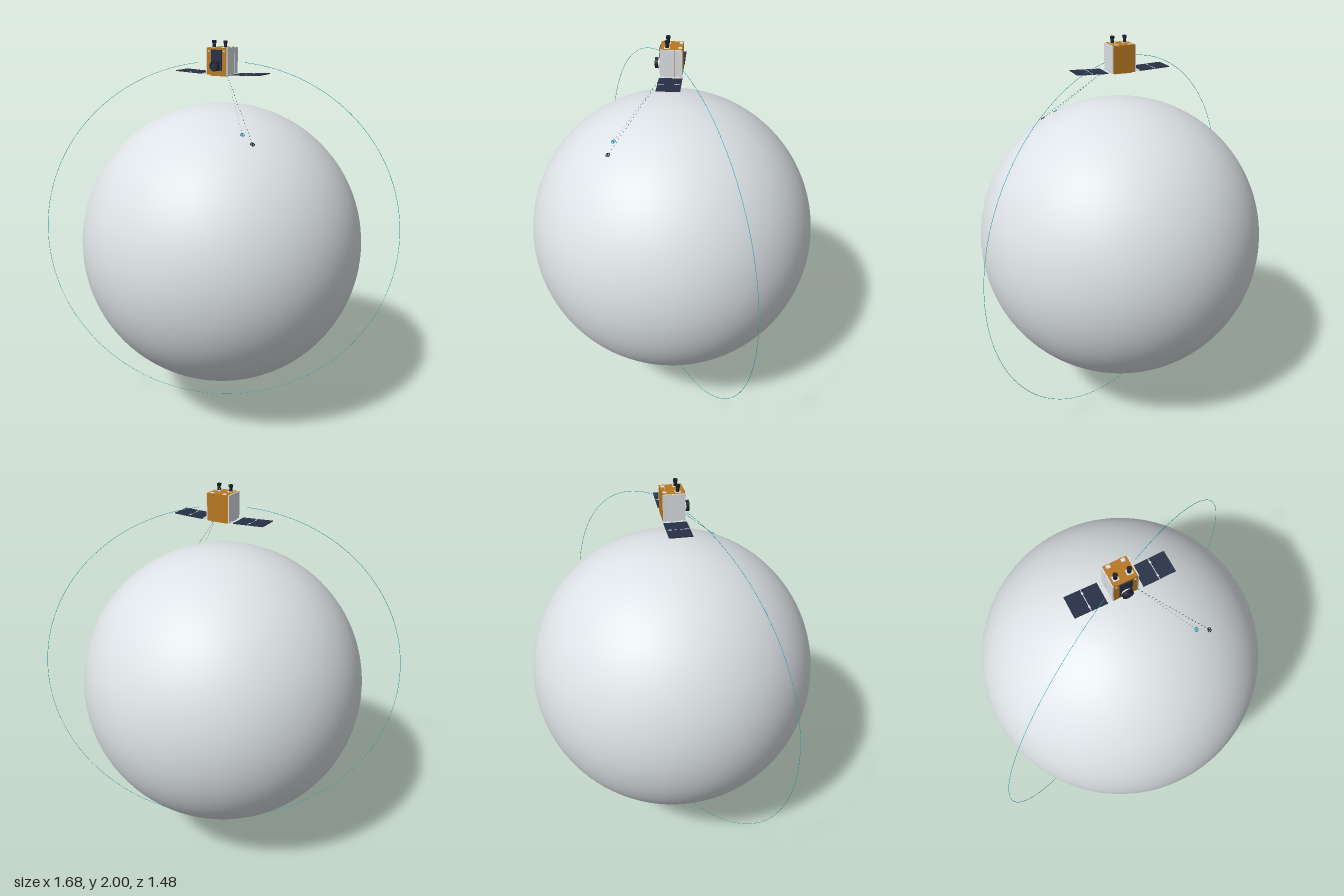
import * as THREE from 'three';

const mat = (name, color) => {
  const m = new THREE.MeshStandardMaterial({ color });
  m.name = name;
  return m;
};

export function createModel() {
  const root = new THREE.Group();
  root.name = 'satelliteOverGlobe';
  const grey = mat('globeGrey', 0xdce2e5);
  const gold = mat('goldFoil', 0xb87820);
  const silver = mat('silver', 0xdde2e5);
  const navy = mat('solarNavy', 0x273047);
  const black = mat('black', 0x1b2028);
  const teal = mat('teal', 0x2fa9bd);

  const add = (parent, name, geo, material, x = 0, y = 0, z = 0) => {
    const m = new THREE.Mesh(geo, material);
    m.name = name;
    m.position.set(x, y, z);
    parent.add(m);
    return m;
  };
  const box = (p, name, material, w, h, d, x, y, z) =>
    add(p, name, new THREE.BoxGeometry(w, h, d), material, x, y, z);
  const cyl = (p, name, material, r0, r1, h, x, y, z, n = 20) =>
    add(p, name, new THREE.CylinderGeometry(r0, r1, h, n), material, x, y, z);

  // Globe
  const R = 0.739, CY = 0.951;
  add(root, 'globe', new THREE.SphereGeometry(R, 96, 64), grey, 0, CY, 0);

  // Upright orbit ring, open around the satellite
  const gap = 0.12;
  const orbit = add(root, 'orbitRing',
    new THREE.TorusGeometry(0.95, 0.001, 6, 240, Math.PI * 2 - 2 * gap), teal, 0, CY, 0);
  orbit.rotation.set(0, Math.atan2(0.44, 0.84), Math.PI / 2 + gap, 'YXZ');

  // Satellite body
  const sat = new THREE.Group();
  sat.name = 'satellite';
  sat.position.y = 1.902;
  root.add(sat);
  box(sat, 'body', gold, 0.112, 0.13, 0.104, 0, 0, 0);
  box(sat, 'bottomPlate', gold, 0.09, 0.008, 0.08, 0, -0.067, 0);

  // Front instrument: dark plate, straight barrel, bright rim and lens
  box(sat, 'instrumentPlate', navy, 0.06, 0.1, 0.005, 0, 0.006, 0.054);
  const cam = new THREE.Group();
  cam.name = 'camera';
  cam.position.set(0, -0.02, 0.055);
  cam.rotation.x = Math.PI / 2;
  sat.add(cam);
  cyl(cam, 'mount', silver, 0.022, 0.022, 0.008, 0, 0.004, 0, 28);
  cyl(cam, 'barrel', black, 0.025, 0.025, 0.015, 0, 0.0155, 0, 28);
  const rim = add(cam, 'lensRim', new THREE.TorusGeometry(0.018, 0.0015, 8, 28), navy, 0, 0.023, 0);
  rim.rotation.x = Math.PI / 2;
  cyl(cam, 'lens', navy, 0.012, 0.012, 0.002, 0, 0.023, 0, 24);

  for (const s of [-1, 1]) {
    // Silver side radiators with a narrow seam
    box(sat, 'radiatorFront', silver, 0.006, 0.13, 0.068, s * 0.058, 0, 0.018);
    box(sat, 'radiatorBack', silver, 0.006, 0.13, 0.034, s * 0.058, 0, -0.035);

    // Top antennas on bright pads, and corner fittings
    box(sat, 'antennaPad', silver, 0.028, 0.003, 0.026, s * 0.032, 0.066, 0.02);
    cyl(sat, 'antennaStem', black, 0.007, 0.009, 0.02, s * 0.032, 0.077, 0.02, 14);
    cyl(sat, 'antennaHead', black, 0.011, 0.01, 0.012, s * 0.032, 0.092, 0.02);
    box(sat, 'cornerFitting', silver, 0.018, 0.003, 0.016, s * 0.034, 0.066, -0.04);
    box(sat, 'frontFitting', silver, 0.008, 0.008, 0.004, s * 0.043, 0.05, 0.053);

    // Two-panel solar wing on a small yoke
    const wing = new THREE.Group();
    wing.name = s > 0 ? 'leftWing' : 'rightWing';
    wing.position.set(s * 0.055, -0.062, 0);
    wing.rotation.z = s * 0.04;
    sat.add(wing);
    for (const z of [-0.034, 0.034])
      box(wing, 'yokeArm', silver, 0.03, 0.003, 0.008, s * 0.015, 0, z);
    box(wing, 'yokeBar', silver, 0.006, 0.004, 0.1, s * 0.026, 0, 0);
    for (const x of [0.067, 0.1465])
      box(wing, 'solarPanel', navy, 0.076, 0.004, 0.108, s * x, 0, 0);
    box(wing, 'hingeStrip', silver, 0.0035, 0.003, 0.104, s * 0.1067, 0, 0);
    for (const z of [-0.035, 0.035])
      box(wing, 'panelHinge', silver, 0.008, 0.005, 0.012, s * 0.1067, 0, z);
  }
  cyl(sat, 'whipAntenna', silver, 0.0008, 0.0008, 0.025, 0, 0.077, -0.035, 6);
  box(sat, 'rearFitting', gold, 0.012, 0.012, 0.004, 0.03, 0.055, -0.054);

  // Dotted beams from the satellite to ringed markers on the globe
  const up = new THREE.Vector3(0, 1, 0);
  const start = new THREE.Vector3(0.058, 1.835, 0.046);
  const beam = (name, material, x, y, z, count) => {
    const g = new THREE.Group();
    g.name = name;
    root.add(g);
    const end = new THREE.Vector3(x, y, z).setLength(R + 0.002).add(new THREE.Vector3(0, CY, 0));
    const dir = end.clone().sub(start);
    const step = dir.length() / count;
    const q = new THREE.Quaternion().setFromUnitVectors(up, dir.clone().normalize());
    for (let i = 0; i < count; i++) {
      const p = start.clone().addScaledVector(dir, (i + 0.5) / count);
      cyl(g, 'dash', material, 0.001, 0.001, step * 0.35, p.x, p.y, p.z, 6).quaternion.copy(q);
    }
    const marker = new THREE.Group();
    marker.name = 'marker';
    marker.position.copy(end);
    marker.quaternion.setFromUnitVectors(up, new THREE.Vector3(x, y, z).normalize());
    g.add(marker);
    const ring = add(marker, 'markerRing', new THREE.TorusGeometry(0.0095, 0.002, 8, 28), material);
    ring.rotation.x = Math.PI / 2;
    cyl(marker, 'markerDot', material, 0.004, 0.004, 0.004, 0, 0, 0, 16);
  };
  beam('darkBeam', black, 0.32, 0.61, 0.269, 22);
  beam('tealBeam', teal, 0.258, 0.647, 0.252, 20);

  return root;
}
